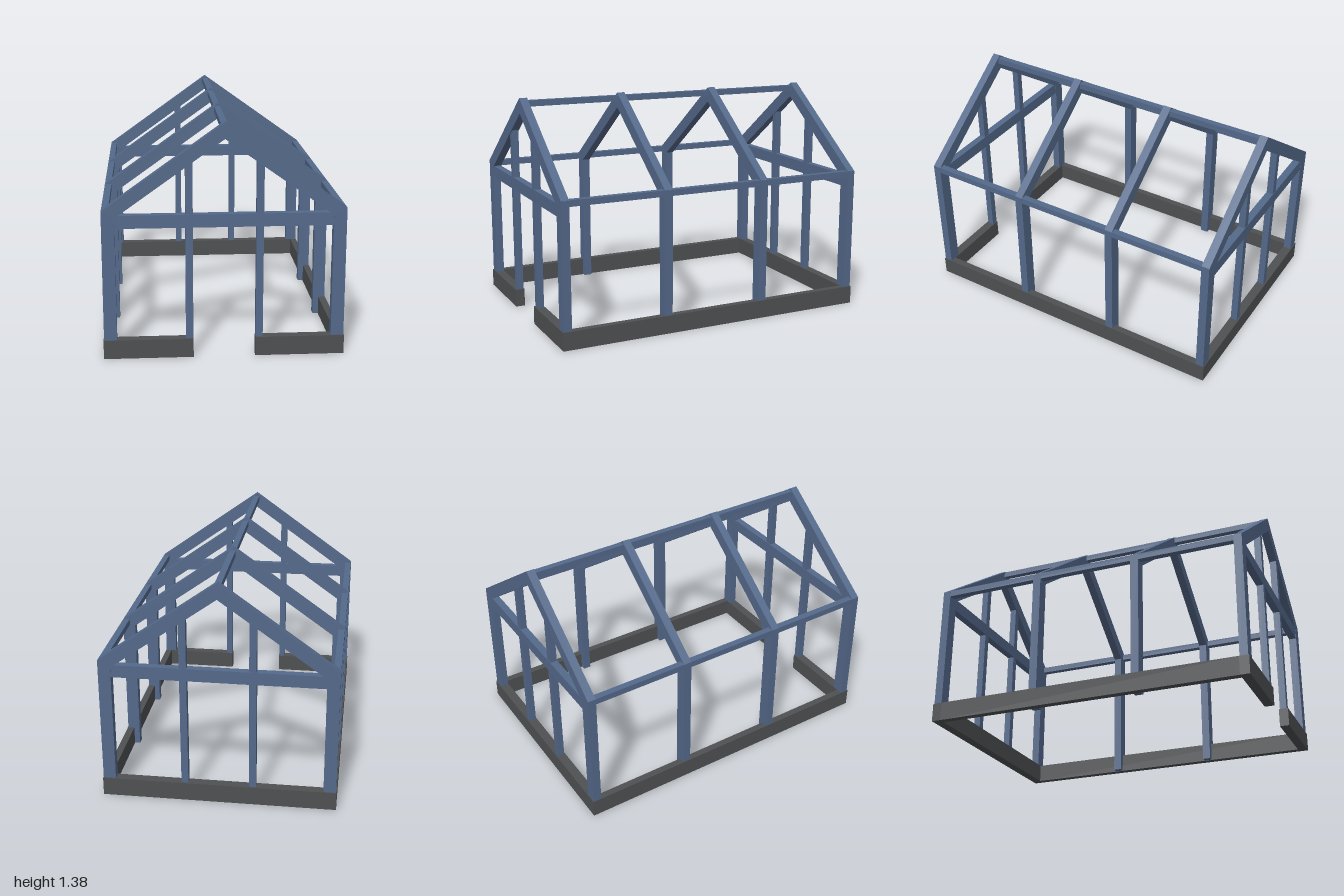
import * as THREE from 'three';

export function createModel() {
  const model = new THREE.Group();
  model.name = 'greenhouseFrame';

  const steel = new THREE.MeshStandardMaterial({ color: 0x54698a });
  steel.name = 'blue grey frame';
  const stone = new THREE.MeshStandardMaterial({ color: 0x4e5052 });
  stone.name = 'dark grey base';

  // Box given by its lower and upper corners
  function beam(name, material, [x0, y0, z0], [x1, y1, z1]) {
    const mesh = new THREE.Mesh(new THREE.BoxGeometry(x1 - x0, y1 - y0, z1 - z0), material);
    mesh.position.set((x0 + x1) / 2, (y0 + y1) / 2, (z0 + z1) / 2);
    mesh.name = name;
    model.add(mesh);
  }

  // Gabled portals: two posts and two rafters in one outline
  const half = 0.697, inner = 0.622, eave = 0.882, ridge = 1.38;
  const slope = (ridge - eave) / half, drop = 0.094, depth = 0.05;
  const underside = (x) => ridge - drop - slope * Math.abs(x);
  const outline = [
    [-half, 0.003], [-inner, 0.003], [-inner, underside(inner)], [0, underside(0)],
    [inner, underside(inner)], [inner, 0.003], [half, 0.003], [half, eave],
    [0, ridge], [-half, eave],
  ].map(([x, y]) => new THREE.Vector2(x, y));
  const portalGeometry = new THREE.ExtrudeGeometry(new THREE.Shape(outline), {
    depth, bevelEnabled: false,
  });
  for (const z of [-0.969, -0.325, 0.325, 0.969]) {
    const portal = new THREE.Mesh(portalGeometry, steel);
    portal.position.z = z - depth / 2;
    portal.name = 'portal';
    model.add(portal);
  }

  // Tie beams and gable studs at both ends
  for (const z of [-0.969, 0.969]) {
    beam('tieBeam', steel, [-inner, 0.78, z - 0.023], [inner, 0.856, z + 0.023]);
    for (const side of [-1, 1]) {
      const x = side * 0.202;
      beam('gableStud', steel, [x - 0.021, 0.003, z - 0.021], [x + 0.021, underside(x) + 0.03, z + 0.021]);
    }
  }

  // Long members: ridge and eaves
  beam('ridgeBeam', steel, [-0.019, 1.327, -0.99], [0.019, 1.364, 0.99]);
  for (const side of [-1, 1]) {
    const x = side * 0.676;
    beam('eaveBeam', steel, [x - 0.02, 0.846, -0.99], [x + 0.02, 0.884, 0.99]);
  }

  // Base walls with a door gap at the front
  const baseTop = 0.113, gap = 0.18, wall = 0.058;
  beam('backBase', stone, [-0.7, 0, -1], [0.7, baseTop, -1 + wall]);
  beam('frontBaseLeft', stone, [gap, 0, 1 - wall], [0.7, baseTop, 1]);
  beam('frontBaseRight', stone, [-0.7, 0, 1 - wall], [-gap, baseTop, 1]);
  beam('sideBaseLeft', stone, [0.657, 0, -1 + wall], [0.7, baseTop, 1 - wall]);
  beam('sideBaseRight', stone, [-0.7, 0, -1 + wall], [-0.657, baseTop, 1 - wall]);

  return model;
}
